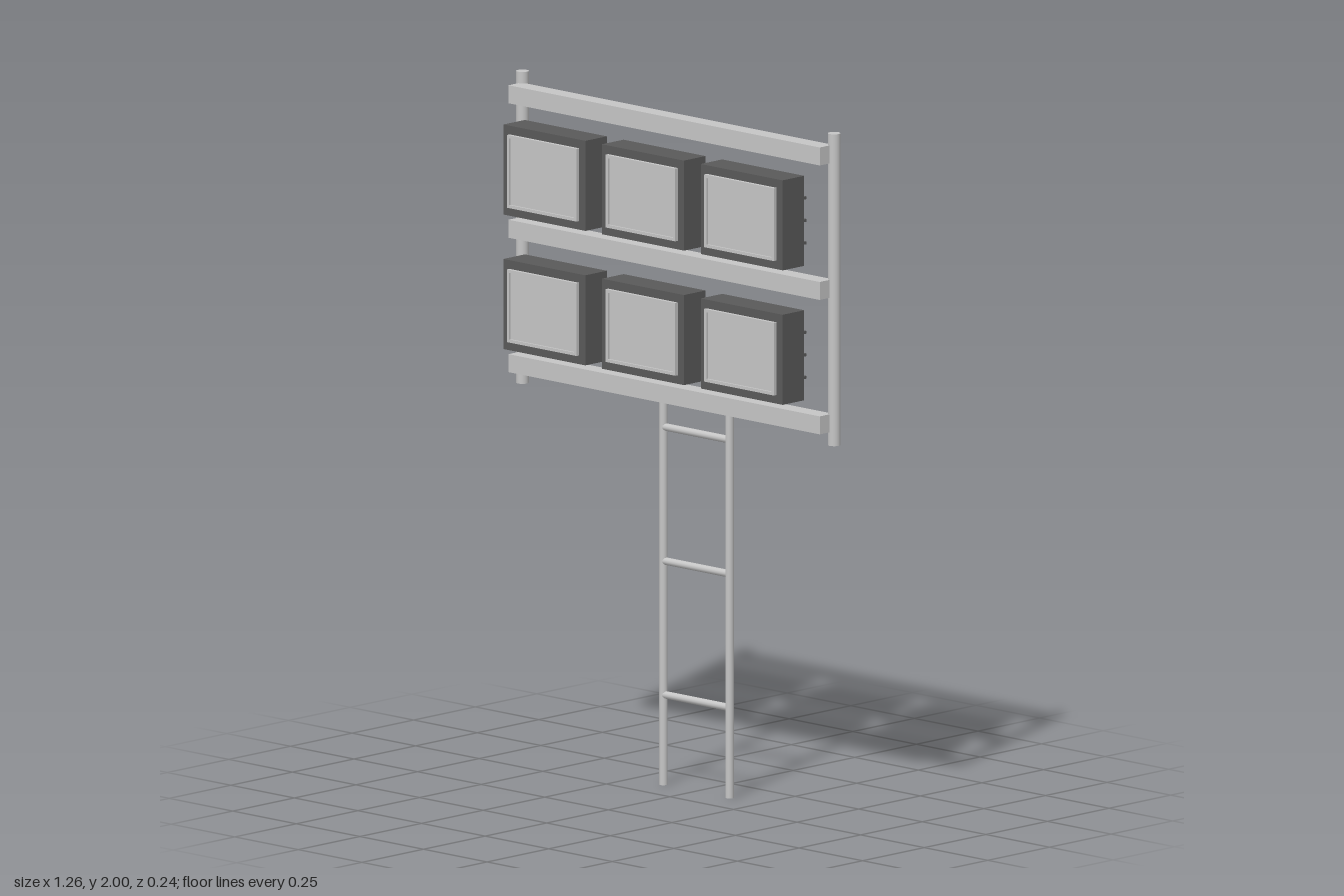
import * as THREE from 'three';

export function createModel() {
  const root = new THREE.Group();
  root.name = 'floodlightRack';

  const steel = new THREE.MeshStandardMaterial({ color: 0xc6c6c6 });
  steel.name = 'lightSteel';
  const casing = new THREE.MeshStandardMaterial({ color: 0x5a5a5a });
  casing.name = 'darkCasing';

  const box = (parent, name, w, h, d, x, y, z, mat) => {
    const mesh = new THREE.Mesh(new THREE.BoxGeometry(w, h, d), mat);
    mesh.name = name;
    mesh.position.set(x, y, z);
    parent.add(mesh);
    return mesh;
  };
  const tube = (name, radius, length, x, y, z, sides) => {
    const mesh = new THREE.Mesh(new THREE.CylinderGeometry(radius, radius, length, sides), steel);
    mesh.name = name;
    mesh.position.set(x, y, z);
    root.add(mesh);
    return mesh;
  };

  // Upright posts and ladder rails, mirrored left and right
  for (const side of [-1, 1]) {
    tube('post', 0.018, 0.9, side * 0.613, 1.55, -0.034, 16);
    tube('ladderRail', 0.012, 1.164, side * 0.13, 0.582, -0.108, 16);
  }

  // Ladder rungs
  for (const y of [0.26, 0.646, 1.033]) {
    tube('ladderRung', 0.011, 0.26, 0, y, -0.108, 12).rotation.z = Math.PI / 2;
  }

  // Horizontal beams
  for (const y of [1.165, 1.553, 1.941]) {
    box(root, 'beam', 1.224, 0.052, 0.053, 0, y, -0.003, steel);
  }

  // Raised rim around the lamp glass
  const rimShape = new THREE.Shape();
  const rw = 0.137, rh = 0.105, t = 0.009;
  rimShape.moveTo(-rw, -rh).lineTo(rw, -rh).lineTo(rw, rh).lineTo(-rw, rh).closePath();
  const hole = new THREE.Path();
  hole.moveTo(-rw + t, -rh + t).lineTo(-rw + t, rh - t).lineTo(rw - t, rh - t).lineTo(rw - t, -rh + t).closePath();
  rimShape.holes.push(hole);
  const rimGeometry = new THREE.ExtrudeGeometry(rimShape, { depth: 0.011, bevelEnabled: false });

  // Two rows of three floodlights
  for (const y of [1.358, 1.746]) {
    for (const x of [-0.388, 0, 0.388]) {
      const lamp = new THREE.Group();
      lamp.name = 'floodlight';
      lamp.position.set(x, y, 0);
      root.add(lamp);
      box(lamp, 'housing', 0.322, 0.26, 0.087, 0, 0, 0.0655, casing);
      box(lamp, 'glass', 0.26, 0.196, 0.005, 0, 0, 0.1115, steel);
      const rim = new THREE.Mesh(rimGeometry, steel);
      rim.name = 'glassRim';
      rim.position.z = 0.109;
      lamp.add(rim);
      // Cooling fins on the back
      for (const fy of [-0.065, 0, 0.065]) {
        box(lamp, 'coolingFin', 0.322, 0.008, 0.012, 0, fy, 0.018, casing);
      }
    }
  }

  return root;
}
